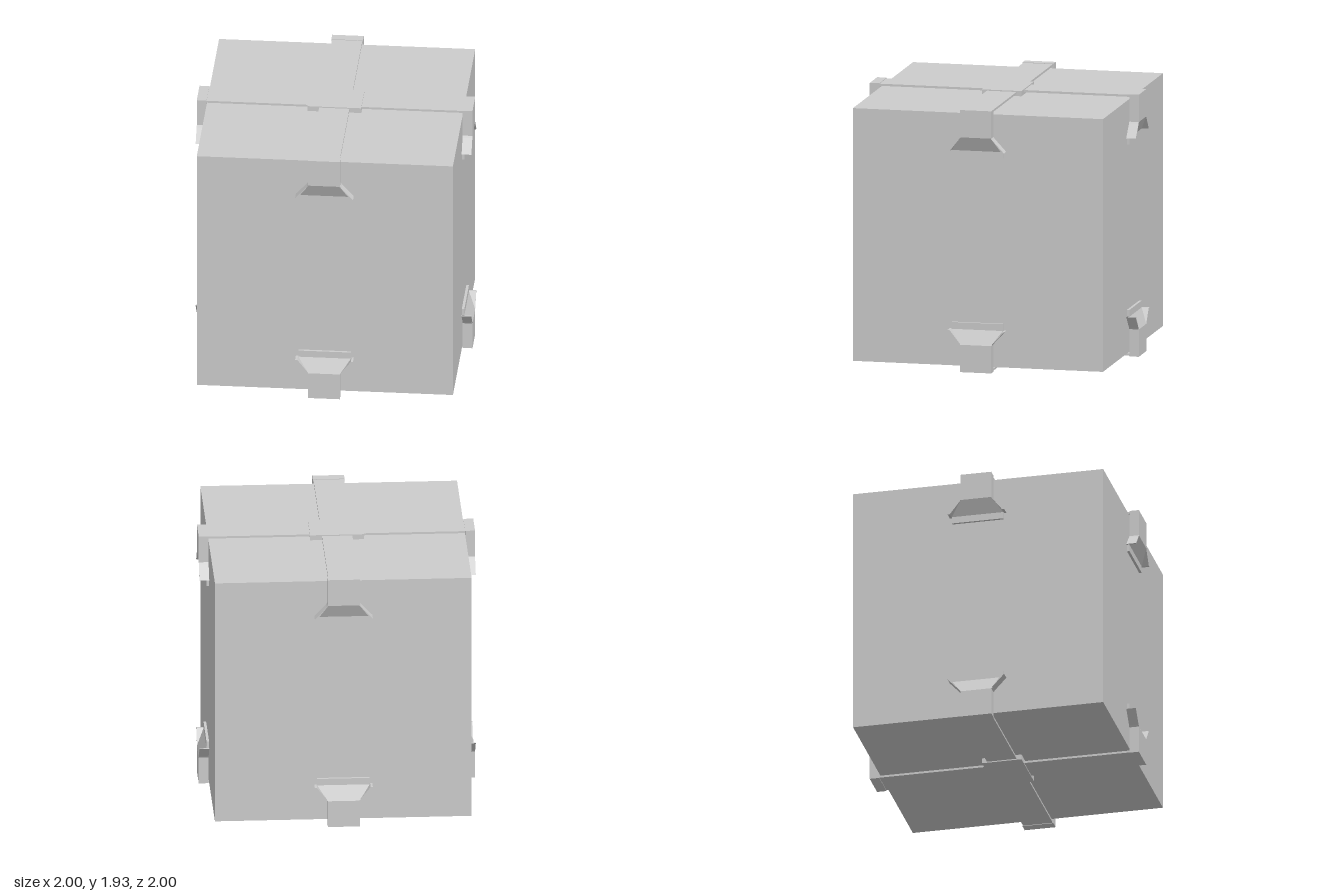
import * as THREE from 'three';

const MID = 0.9675;   // half of the total height
const CUBE = 0.929;   // half size of the crate
const mat = new THREE.MeshStandardMaterial({ color: 0xcccccc, flatShading: true });

function mesh(name, geometry) {
  const m = new THREE.Mesh(geometry, mat);
  m.name = name;
  return m;
}

// Box given by its lower and upper corners
function box(name, [x0, y0, z0], [x1, y1, z1]) {
  const g = new THREE.BoxGeometry(x1 - x0, y1 - y0, z1 - z0);
  g.translate((x0 + x1) / 2, (y0 + y1) / 2, (z0 + z1) / 2);
  return mesh(name, g);
}

// Clip on the +z side, heights measured from the crate's middle
function createClip() {
  const clip = new THREE.Group();
  clip.name = 'clip';
  const top = 0.7625, low = 0.6575;
  clip.add(box('clipBlock', [-0.115, top, CUBE], [0.115, 0.9635, 1]));
  clip.add(box('clipLip', [-0.19, 0.6075, CUBE], [0.19, low, 0.948]));

  // Sloped body: wide and thin at its lower end
  const slope = new THREE.BoxGeometry(1, 1, 1);
  const p = slope.attributes.position;
  for (let i = 0; i < p.count; i++) {
    const upper = p.getY(i) > 0;
    p.setXYZ(i,
      Math.sign(p.getX(i)) * (upper ? 0.115 : 0.19),
      upper ? top : low,
      p.getZ(i) < 0 ? CUBE : upper ? 1 : 0.948);
  }
  slope.computeVertexNormals();
  clip.add(mesh('clipSlope', slope));

  // Flared side wings
  for (const s of [-1, 1]) {
    const shape = new THREE.Shape([
      new THREE.Vector2(s * 0.112, top),
      new THREE.Vector2(s * 0.21, low),
      new THREE.Vector2(s * 0.194, low),
    ]);
    const wing = new THREE.ExtrudeGeometry(shape, { depth: 1 - CUBE, bevelEnabled: false });
    wing.translate(0, 0, CUBE);
    clip.add(mesh('clipWing', wing));
  }
  return clip;
}

// Crossed straps, centre plate and four clips
function createFittings(name) {
  const half = new THREE.Group();
  half.name = name;
  const y0 = 0.944, y1 = 0.9595;
  half.add(box('strapAcross', [-0.94, y0, -0.11], [0.94, y1, 0.11]));
  for (const s of [-1, 1]) {
    const a = s * 0.11, b = s * 0.94;
    half.add(box('strapLengthwise', [-0.11, y0, Math.min(a, b)], [0.11, y1, Math.max(a, b)]));
  }
  half.add(box('centrePlate', [-0.195, CUBE, -0.147], [0.195, MID, 0.147]));
  for (let i = 0; i < 4; i++) {
    const clip = createClip();
    clip.rotation.y = i * Math.PI / 2;
    half.add(clip);
  }
  half.position.y = MID;
  return half;
}

export function createModel() {
  const model = new THREE.Group();
  model.name = 'strappedCrate';
  model.add(box('crate', [-CUBE, MID - CUBE, -CUBE], [CUBE, MID + CUBE, CUBE]));
  model.add(createFittings('topFittings'));
  const bottom = createFittings('bottomFittings');
  bottom.rotation.x = Math.PI;
  model.add(bottom);
  return model;
}
